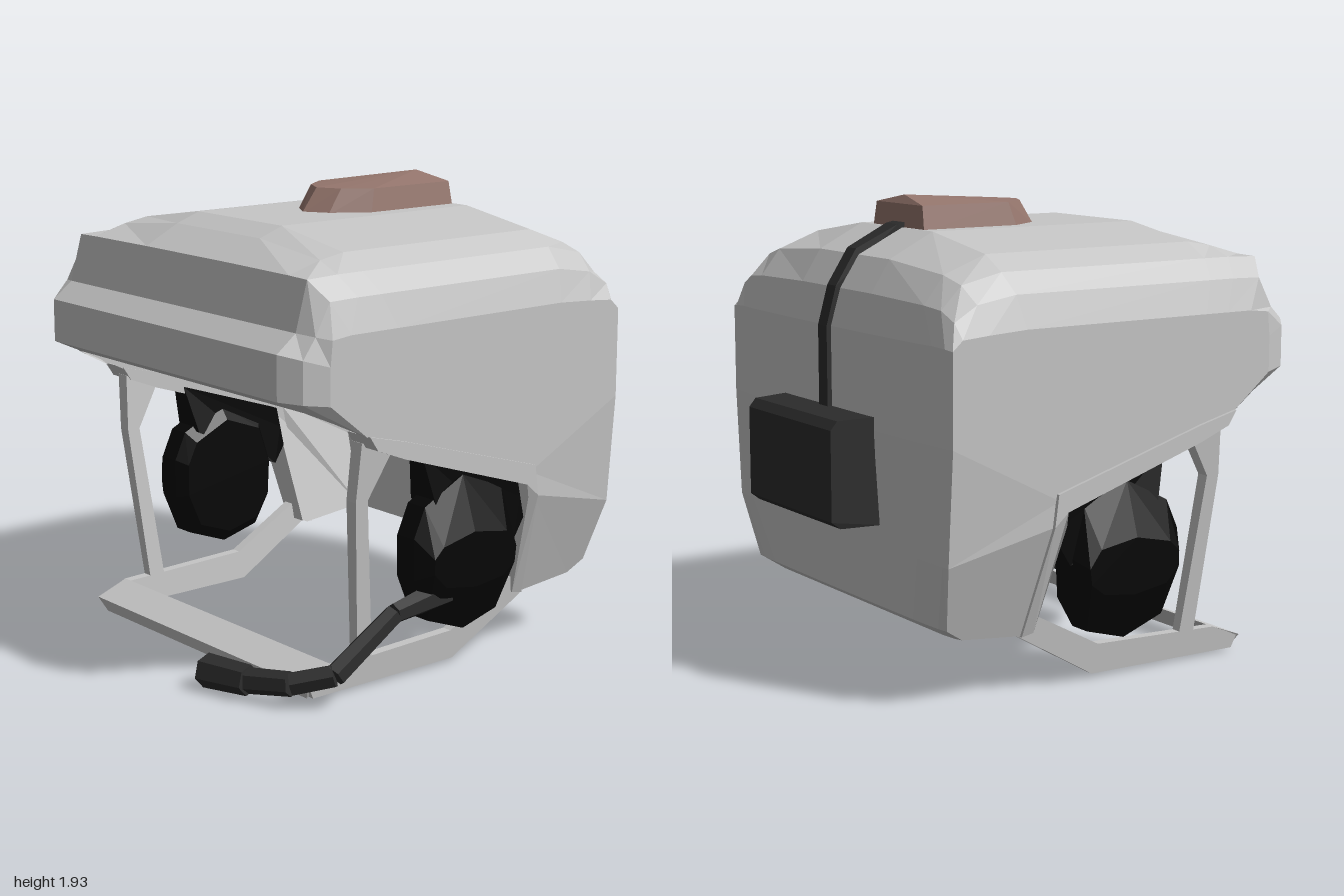
import * as THREE from 'three';
import { ConvexGeometry } from 'three/addons/geometries/ConvexGeometry.js';

const paint = (name, color, side = THREE.FrontSide) =>
  Object.assign(new THREE.MeshStandardMaterial({ color, side, flatShading: true }), { name });

// Moves every vertex by a rule
function bend(geo, rule) {
  const p = geo.attributes.position, v = new THREE.Vector3();
  for (let i = 0; i < p.count; i++) {
    rule(v.fromBufferAttribute(p, i));
    p.setXYZ(i, v.x, v.y, v.z);
  }
  geo.computeVertexNormals();
  return geo;
}

// Reflects a geometry in x and restores the corner order
function mirrored(geo) {
  const g = geo.index ? geo.toNonIndexed() : geo.clone();
  const p = g.attributes.position, a = p.array;
  for (let t = 0; t < a.length; t += 9)
    for (let k = 0; k < 3; k++) [a[t + 3 + k], a[t + 6 + k]] = [a[t + 6 + k], a[t + 3 + k]];
  for (let i = 0; i < p.count; i++) p.setX(i, -p.getX(i));
  g.computeVertexNormals();
  return g;
}

// Side outline of [z, y] points, flat or extruded along x
const outline = pts => new THREE.Shape(pts.map(([z, y]) => new THREE.Vector2(-z, y)));
const flat = (pts, x) => new THREE.ShapeGeometry(outline(pts)).rotateY(Math.PI / 2).translate(x, 0, 0);
const slab = (pts, x, depth) =>
  new THREE.ExtrudeGeometry(outline(pts), { depth, bevelEnabled: false }).rotateY(Math.PI / 2).translate(x, 0, 0);

const hull = pts => new ConvexGeometry(pts.map(p => new THREE.Vector3(...p)));

// Skin over rows of points of equal length
function loft(rows) {
  const n = rows[0].length, index = [];
  for (let r = 0; r < rows.length - 1; r++)
    for (let c = 0; c < n - 1; c++) {
      const a = r * n + c, b = a + n;
      index.push(a, a + 1, b, a + 1, b + 1, b);
    }
  const g = new THREE.BufferGeometry();
  g.setAttribute('position', new THREE.Float32BufferAttribute(rows.flat(2), 3));
  g.setIndex(index);
  const faceted = g.toNonIndexed();
  faceted.computeVertexNormals();
  return faceted;
}

// Six-sided rod between two points
function rod(a, b, ra, rb) {
  const A = new THREE.Vector3(...a), B = new THREE.Vector3(...b), d = B.clone().sub(A);
  const g = new THREE.CylinderGeometry(rb, ra, d.length(), 6);
  g.applyQuaternion(new THREE.Quaternion().setFromUnitVectors(new THREE.Vector3(0, 1, 0), d.normalize()));
  return g.translate(...A.add(B).multiplyScalar(0.5).toArray());
}

// The shell narrows toward its lower edge
const taper = v => { v.x *= 1 - 0.16 * THREE.MathUtils.clamp((0.7 - v.y) / 0.45, 0, 1); };

// Shell rows from brow to nape: z, y at the centre, the shoulder and the side
const ROWS = [
  [0.78, 1.18, 0.78, 1.18, 0.57, 1.075],
  [0.91, 1.24, 0.91, 1.24, 0.75, 1.22],
  [0.91, 1.42, 0.91, 1.42, 0.75, 1.37],
  [0.82, 1.49, 0.82, 1.49, 0.74, 1.47],
  [0.765, 1.69, 0.765, 1.685, 0.65, 1.48],
  [0.61, 1.77, 0.62, 1.69, 0.53, 1.48],
  [0.5, 1.81, 0.5, 1.69, 0.42, 1.48],
  [-0.49, 1.81, -0.49, 1.69, -0.45, 1.48],
  [-0.69, 1.71, -0.67, 1.65, -0.62, 1.47],
  [-0.775, 1.58, -0.76, 1.56, -0.74, 1.46],
  [-0.82, 1.43, -0.8, 1.43, -0.785, 1.42],
  [-0.82, 1.05, -0.8, 1.05, -0.785, 1.05],
  [-0.79, 0.59, -0.79, 0.59, -0.785, 0.59],
  [-0.775, 0.33, -0.77, 0.33, -0.74, 0.32],
  [-0.68, 0.27, -0.68, 0.27, -0.66, 0.27],
];

function shellRow([cz, cy, bz, by, ez, ey]) {
  const mix = THREE.MathUtils.lerp;
  const half = [
    [0.28, cy, cz],
    [0.66, mix(cy, by, 0.5), mix(cz, bz, 0.5)],
    [0.77, by, bz],
    [0.85, mix(by, ey, 0.38), mix(bz, ez, 0.38)],
    [0.89, ey, ez],
  ];
  return [...half.map(([x, y, z]) => [-x, y, z]).reverse(), ...half];
}

export function createModel() {
  const model = new THREE.Group();
  model.name = 'helmet';
  const grey = paint('shell grey', 0xc6c6c6, THREE.DoubleSide);
  const charcoal = paint('charcoal', 0x2c2c2c);
  const black = paint('ear cup black', 0x050505);
  const brown = paint('mount brown', 0x95766d);

  const add = (name, geo, mat) => {
    const m = new THREE.Mesh(geo, mat);
    m.name = name;
    model.add(m);
  };
  const pair = (name, geo, mat) => {
    add('left' + name, geo, mat);
    add('right' + name, mirrored(geo), mat);
  };

  // Shell: wrapped skin and side panels, folded inward below the ears
  add('shell', bend(loft(ROWS.map(shellRow)), taper), grey);
  const rim = ROWS.map(r => [r[4], r[5]]);
  const opening = [[-0.315, 0.7], [-0.295, 0.8], [0.39, 1.01]];
  pair('SidePanel', bend(flat([...rim.slice(0, 13), ...opening], 0.89), taper), grey);
  pair('LowerSidePanel', bend(flat([...rim.slice(12), [-0.36, 0.24], opening[0]], 0.89), taper), grey);

  // Liner: inner walls and the lower edge closing the wall thickness
  const lining = [[-0.68, 0.27], [-0.69, 0.7], [-0.72, 1.05], [-0.71, 1.43], [-0.62, 1.6], [-0.46, 1.67],
    [0.46, 1.67], [0.65, 1.62], [0.71, 1.45], [0.78, 1.18]];
  add('liner', bend(loft(lining.map(([z, y]) => [[-0.77, y, z], [0.77, y, z]])), taper), grey);
  pair('LinerSide', bend(flat([[-0.36, 0.24], ...lining, rim[0], ...opening.slice().reverse()], 0.77), taper), grey);
  pair('LowerEdge', bend(loft([
    [[0.77, 0.27, -0.68], [0.89, 0.27, -0.66]],
    [[0.77, 0.24, -0.36], [0.89, 0.24, -0.36]],
  ]), taper), grey);

  // Raised trim round the ear opening
  pair('EarTrim', bend(slab([
    [0.57, 1.08], [0.39, 1.035], [-0.31, 0.83], [-0.328, 0.7], [-0.385, 0.24],
    [-0.33, 0.25], [-0.272, 0.7], [-0.265, 0.755], [0.39, 0.965], [0.53, 1.02],
  ], 0.765, 0.14), taper), grey);

  // Chin harness: side straps lean inward toward the chin bar
  const lean = v => { v.x += (v.x < 0.71 ? 0.082 : 0.1) * v.y; };
  pair('FrontStrap', bend(slab([
    [0.55, 1.04], [0.56, 0.8], [0.49, 0.08], [0.42, 0.13], [0.5, 0.8], [0.39, 0.99],
  ], 0.687, 0.042), lean), grey);
  pair('JawStrap', bend(slab([
    [0.71, 0.02], [-0.02, 0.025], [-0.385, 0.235], [-0.32, 0.32], [0, 0.15], [0.45, 0.135], [0.6, 0.13], [0.735, 0.075],
  ], 0.687, 0.042), lean), grey);
  add('chinBar', bend(slab([
    [0.6, 0.13], [0.745, 0.075], [0.72, 0.015],
  ], -0.74, 1.48), v => { if (v.y < 0.05) v.x *= 0.95; }), grey);

  // Ear cups: faceted, domed outward, with a neck up into the shell
  const cup = [[0.25, 0.74], [0.305, 0.62], [0.305, 0.45], [0.23, 0.27], [0.04, 0.2],
    [-0.14, 0.25], [-0.215, 0.38], [-0.225, 0.56], [-0.16, 0.76], [0.05, 0.84]];
  const levels = [[0.713, 0.85, 0.82], [0.76, 1, 1], [0.86, 1, 1], [0.935, 0.83, 0.36]];
  pair('EarCup', hull(levels.flatMap(([x, sz, sy]) =>
    cup.map(([z, y]) => [x, 0.5 + (y - 0.5) * sy, 0.04 + (z - 0.04) * sz]))), black);
  pair('EarCupNeck', bend(slab([
    [0.25, 0.95], [0.2, 0.74], [-0.23, 0.53], [-0.28, 0.61], [-0.26, 0.7], [-0.24, 0.79],
  ], 0.72, 0.15), v => { if (v.y > 0.9) v.x = 0.81 + (v.x - 0.81) * 0.5; }), black);

  // Microphone boom with a thicker tip
  const boom = [[0.865, 0.38, 0.15], [0.855, 0.335, 0.4], [0.84, 0.14, 0.69], [0.72, 0.1, 0.81], [0.54, 0.08, 0.88]];
  const radii = [0.06, 0.042, 0.048, 0.05, 0.053];
  for (let i = 0; i < 4; i++)
    add('microphoneBoom' + (i + 1), rod(boom[i], boom[i + 1], radii[i], radii[i + 1]), charcoal);
  add('microphoneTip', rod(boom[4], [0.325, 0.075, 0.93], 0.062, 0.07), charcoal);

  // Top mount: tapered plate with a ridge rising to the back
  const plate = (y, pts) => pts.flatMap(([x, z]) => [[x, y, z], [-x, y, z]]);
  add('topMount', hull([
    ...plate(1.8, [[0.2, -0.48], [0.2, -0.03], [0.1, 0.12], [0, 0.18]]),
    ...plate(1.905, [[0.18, -0.475], [0.18, -0.06], [0.1, 0.05], [0, 0.1]]),
    [0, 1.94, -0.45],
  ]), brown);

  // Cable strip down the back to the battery box, wider at the mount
  add('cableStrip', bend(slab([
    [-0.46, 1.835], [-0.51, 1.825], [-0.7, 1.735], [-0.795, 1.59], [-0.84, 1.43], [-0.84, 1.05],
    [-0.8, 1.05], [-0.8, 1.42], [-0.755, 1.565], [-0.67, 1.69], [-0.49, 1.785], [-0.46, 1.785],
  ], -0.035, 0.07), v => { if (v.z > -0.55) v.x *= 1.3; }), charcoal);
  add('batteryBox', bend(slab([
    [-0.815, 1.105], [-0.97, 1.1], [-1, 1.065], [-1, 0.7], [-0.96, 0.67], [-0.79, 0.67],
  ], -0.365, 0.73), v => { if (v.z < -0.9) v.x *= 0.94; }), charcoal);

  return model;
}
